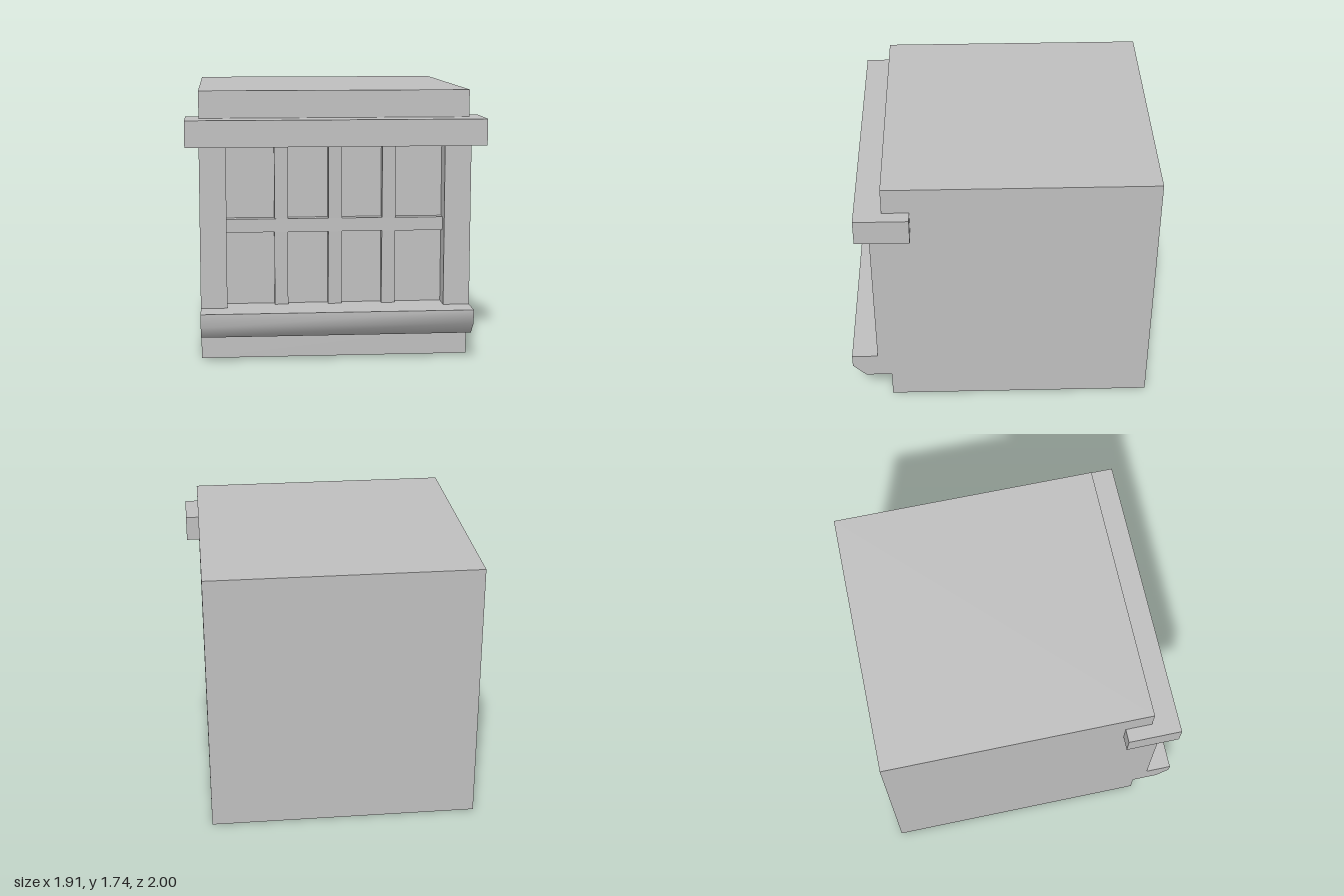
import * as THREE from 'three';
import { toCreasedNormals } from 'three/addons/utils/BufferGeometryUtils.js';

const stone = new THREE.MeshStandardMaterial({ color: 0xbfbfbf });
stone.name = 'plain grey';

// Box given by its lower and upper limits on each axis
function block(name, [x0, x1], [y0, y1], [z0, z1]) {
  const geometry = new THREE.BoxGeometry(x1 - x0, y1 - y0, z1 - z0);
  geometry.translate((x0 + x1) / 2, (y0 + y1) / 2, (z0 + z1) / 2);
  const mesh = new THREE.Mesh(geometry, stone);
  mesh.name = name;
  return mesh;
}

// Side profile of [z, y] points, extruded across x
function profile(name, points, x0, x1, crease = 0) {
  const shape = new THREE.Shape(points.map(([z, y]) => new THREE.Vector2(-z, y)));
  let geometry = new THREE.ExtrudeGeometry(shape, { depth: x1 - x0, bevelEnabled: false });
  geometry.rotateY(Math.PI / 2).translate(x0, 0, 0);
  if (crease) geometry = toCreasedNormals(geometry, crease);
  const mesh = new THREE.Mesh(geometry, stone);
  mesh.name = name;
  return mesh;
}

export function createModel() {
  const model = new THREE.Group();
  model.name = 'windowBlock';

  const half = 0.87, opening = 0.7;
  const sillTop = 0.35, lintelBottom = 1.395;
  const front = 0.74, pane = 0.695;

  // Body with the chamfered sill and the window recess
  model.add(profile('bodyAndSill', [
    [-1, 0], [front, 0], [front, 0.18], [0.913, 0.18], [1, 0.265], [1, sillTop],
    [pane, sillTop], [pane, lintelBottom], [front, lintelBottom], [front, 1.74], [-1, 1.74],
  ], -half, half, THREE.MathUtils.degToRad(55)));

  // Side posts of the window
  for (const side of [-1, 1]) {
    const xs = [side * opening, side * half].sort((a, b) => a - b);
    model.add(block(side > 0 ? 'leftPost' : 'rightPost', xs, [sillTop, lintelBottom], [pane, 0.828]));
  }

  // Overhanging lintel
  model.add(block('lintel', [-0.957, 0.957], [lintelBottom, 1.565], [0.567, 0.914]));

  // Window bars, the upright ones a little thinner towards the sill
  for (const x of [-0.348, 0, 0.348]) {
    model.add(profile('uprightBar', [
      [pane, sillTop], [0.74, sillTop], [0.77, lintelBottom], [pane, lintelBottom],
    ], x - 0.0435, x + 0.0435));
  }
  model.add(block('crossBar', [-opening, opening], [0.83, 0.917], [pane, 0.757]));

  return model;
}
